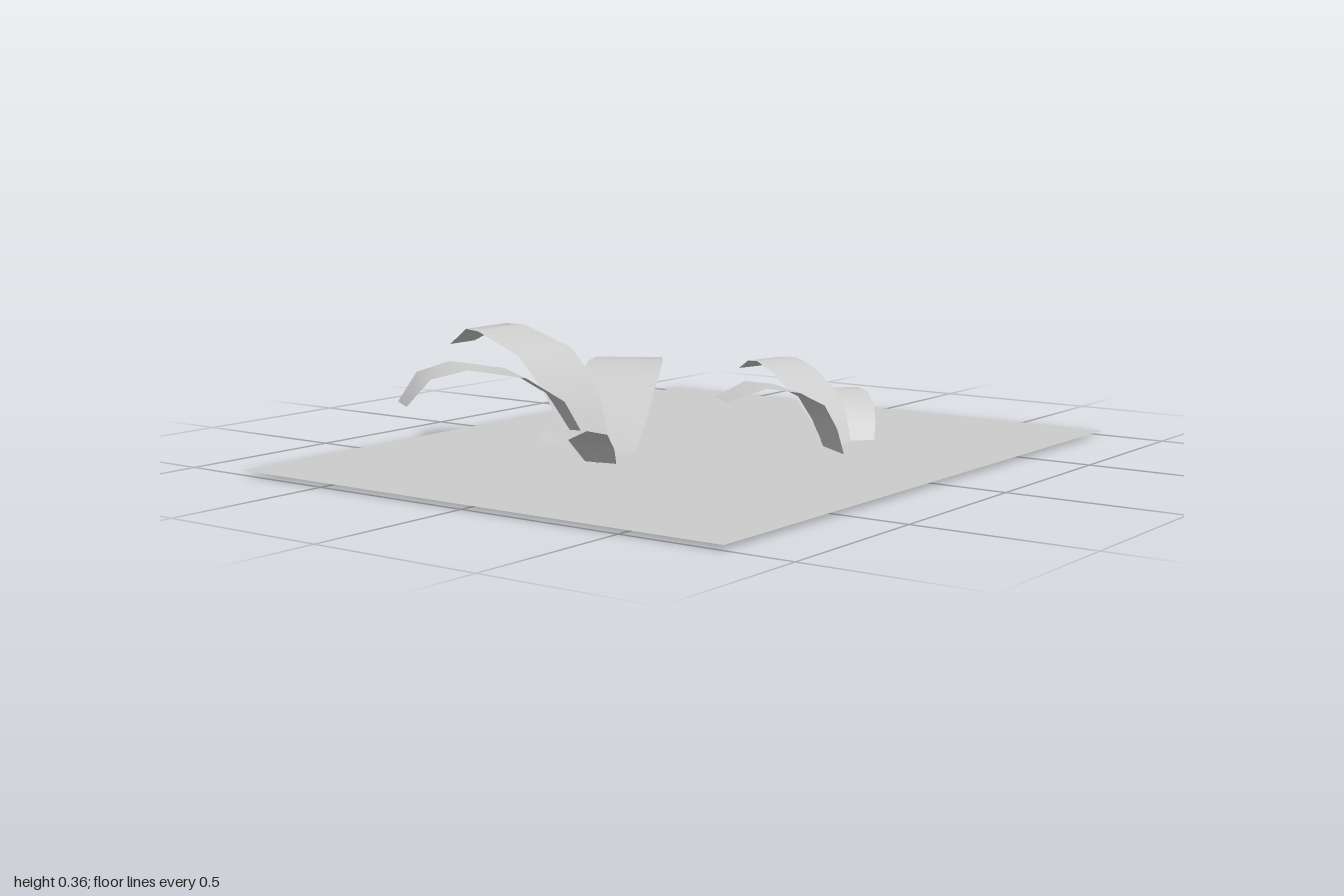
import * as THREE from 'three';

const material = new THREE.MeshStandardMaterial({ color: 0xcccccc, side: THREE.DoubleSide });

// Arching leaf strip: root and tip are [x, z], widths are [root, middle, tip],
// profile lists [fraction of the way from root to tip, height].
function makeLeaf({ name, root, tip, widths, profile }) {
  const from = new THREE.Vector2(...root);
  const along = new THREE.Vector2(...tip).sub(from);
  const side = new THREE.Vector2(-along.y, along.x).normalize();
  const centres = profile.map(([f, y]) => new THREE.Vector3(from.x + along.x * f, y, from.y + along.y * f));

  // arc length along the spine drives the width
  const arc = [0];
  for (let i = 1; i < centres.length; i++) arc.push(arc[i - 1] + centres[i].distanceTo(centres[i - 1]));
  const [rootWidth, midWidth, tipWidth] = widths;

  const positions = [];
  const indices = [];
  centres.forEach((c, i) => {
    const t = (arc[i] / arc[arc.length - 1]) * 2 - 1;
    const end = t < 0 ? rootWidth : tipWidth;
    const half = (midWidth + (end - midWidth) * Math.abs(t) ** 2.2) / 2;
    for (const s of [-1, 1]) positions.push(c.x + side.x * half * s, c.y, c.z + side.y * half * s);
    if (i > 0) {
      const a = 2 * i - 2;
      indices.push(a, a + 1, a + 2, a + 1, a + 3, a + 2);
    }
  });
  // upper surface faces up
  for (let i = 0; i < indices.length; i += 3) [indices[i + 1], indices[i + 2]] = [indices[i + 2], indices[i + 1]];

  const geometry = new THREE.BufferGeometry();
  geometry.setAttribute('position', new THREE.Float32BufferAttribute(positions, 3));
  geometry.setIndex(indices);
  geometry.computeVertexNormals();
  const mesh = new THREE.Mesh(geometry, material);
  mesh.name = name;
  return mesh;
}

const largePlant = [
  {
    name: 'backLeaf', root: [-0.255, -0.165], tip: [-0.275, -0.65], widths: [0.155, 0.247, 0.11],
    profile: [[0, 0], [0.07, 0.08], [0.15, 0.17], [0.25, 0.24], [0.37, 0.3], [0.69, 0.357], [0.81, 0.36], [1, 0.306]],
  },
  {
    name: 'rightLeaf', root: [-0.31, -0.125], tip: [-0.762, -0.427], widths: [0.1, 0.232, 0.108],
    profile: [[0, 0], [0.11, 0.1], [0.22, 0.2], [0.42, 0.27], [0.71, 0.298], [0.89, 0.275], [1, 0.2]],
  },
  {
    name: 'leftLeaf', root: [-0.185, -0.16], tip: [0.283, -0.443], widths: [0.12, 0.228, 0.1],
    profile: [[0, 0], [0.1, 0.1], [0.2, 0.17], [0.4, 0.215], [0.57, 0.237], [0.76, 0.237], [0.9, 0.205], [1, 0.125]],
  },
  {
    name: 'smallLeaf', root: [-0.32, -0.09], tip: [-0.61, -0.038], widths: [0.09, 0.145, 0.068],
    profile: [[0, 0], [0.17, 0.06], [0.35, 0.11], [0.7, 0.135], [1, 0.113]],
  },
];

const smallPlant = [
  {
    name: 'rightLeaf', root: [0.225, 0.33], tip: [-0.065, 0.135], widths: [0.145, 0.195, 0.1],
    profile: [[0, 0.005], [0.09, 0.09], [0.21, 0.16], [0.43, 0.2], [0.7, 0.215], [1, 0.178]],
  },
  {
    name: 'backLeaf', root: [0.31, 0.29], tip: [0.398, -0.085], widths: [0.105, 0.175, 0.09],
    profile: [[0, 0.01], [0.11, 0.09], [0.27, 0.16], [0.5, 0.215], [0.69, 0.24], [0.83, 0.236], [1, 0.205]],
  },
  {
    name: 'leftLeaf', root: [0.408, 0.298], tip: [0.568, 0.122], widths: [0.098, 0.138, 0.064],
    profile: [[0, 0.01], [0.13, 0.06], [0.3, 0.11], [0.57, 0.14], [0.8, 0.146], [1, 0.135]],
  },
];

export function createModel() {
  const model = new THREE.Group();
  model.name = 'groundWithPlants';

  // flat patch the leaves grow through
  const ground = new THREE.Mesh(new THREE.PlaneGeometry(2, 1.61).rotateX(-Math.PI / 2), material);
  ground.name = 'groundPatch';
  ground.position.y = 0.013;
  model.add(ground);

  for (const [name, leaves] of Object.entries({ largePlant, smallPlant })) {
    const plant = new THREE.Group();
    plant.name = name;
    leaves.forEach((leaf) => plant.add(makeLeaf(leaf)));
    model.add(plant);
  }
  return model;
}
